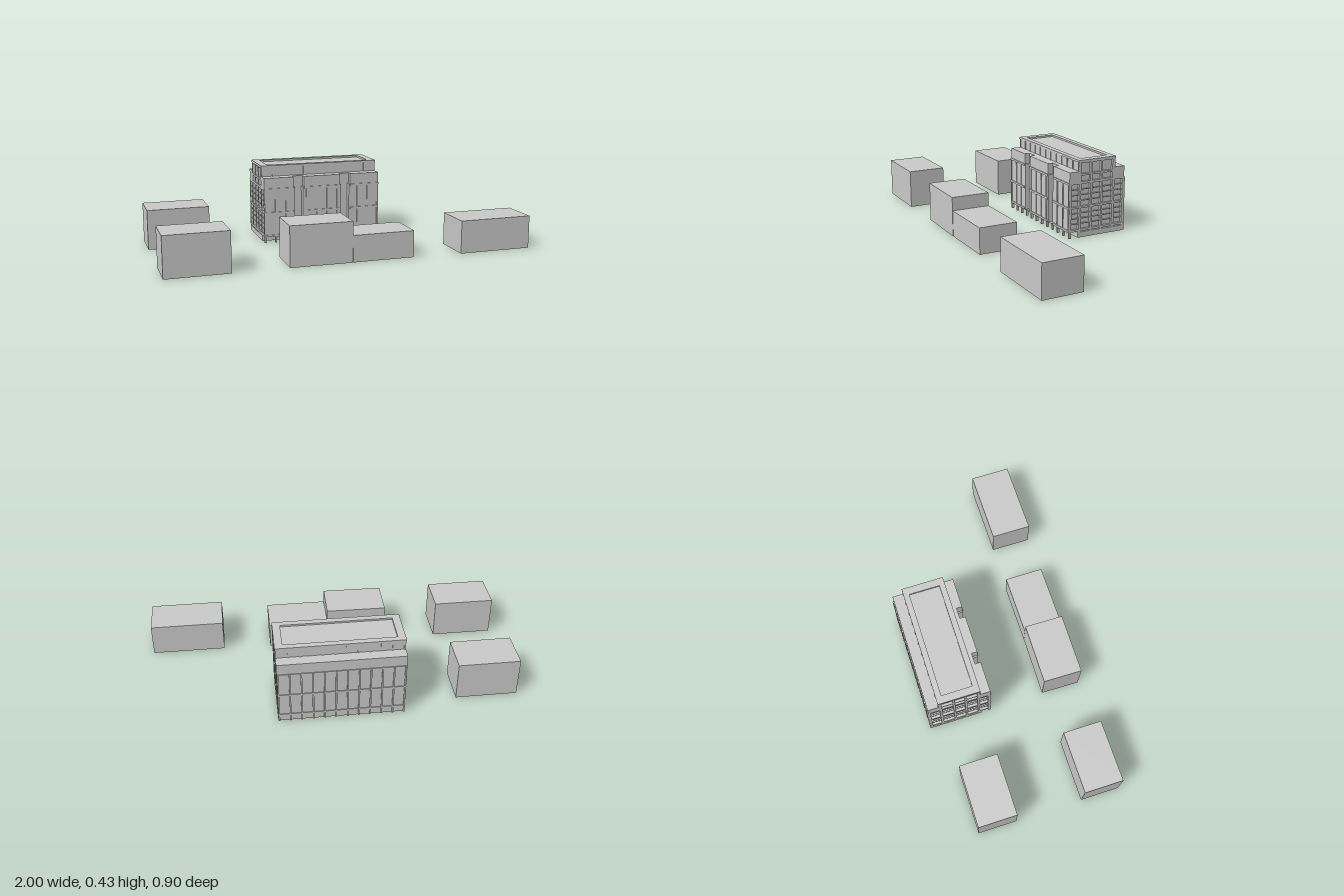
import * as THREE from 'three';

const mat = new THREE.MeshStandardMaterial({ color: 0xcccccc, flatShading: true });

export function createModel() {
  const root = new THREE.Group();

  const group = (name, parent = root) => {
    const g = new THREE.Group();
    g.name = name;
    parent.add(g);
    return g;
  };
  const add = (parent, name, geo) => {
    const m = new THREE.Mesh(geo, mat);
    m.name = name;
    parent.add(m);
    return m;
  };
  // box given by its limits
  const box = (parent, name, x0, x1, y0, y1, z0, z1) => {
    const m = add(parent, name, new THREE.BoxGeometry(x1 - x0, y1 - y0, z1 - z0));
    m.position.set((x0 + x1) / 2, (y0 + y1) / 2, (z0 + z1) / 2);
    return m;
  };
  const poly = pts => new THREE.Shape(pts.map(p => new THREE.Vector2(...p)));
  const rect = (a0, a1, b0, b1) => [[a0, b0], [a1, b0], [a1, b1], [a0, b1]];
  // plan outline in (x, z) raised from y0 to y1
  const raise = (shape, y0, y1) =>
    new THREE.ExtrudeGeometry(shape, { depth: y1 - y0, bevelEnabled: false })
      .rotateX(Math.PI / 2).translate(0, y1, 0);

  // plain neighbouring blocks
  const blocks = group('neighbourBlocks');
  box(blocks, 'backLeftBlock', -1, -0.66, 0, 0.22, -0.37, -0.155);
  box(blocks, 'frontLeftBlock', -1, -0.66, 0, 0.22, 0.22, 0.435);
  box(blocks, 'middleTallBlock', -0.358, -0.02, 0, 0.22, 0.218, 0.434).rotation.y = -0.015;
  box(blocks, 'middleLowBlock', -0.02, 0.32, 0, 0.145, 0.22, 0.435);
  box(blocks, 'frontRightBlock', 0.59, 1, 0, 0.18, 0.228, 0.45);

  const building = group('mainBuilding');
  const X0 = -0.36, X1 = 0.32, ZF = -0.097, ZB = -0.445, T = 0.014;
  const xa = X0 + T, xb = X1 - T;
  const slots = [-0.158, 0.117];

  // main body with two vertical slots in its front, wider at the top
  const plan = half => {
    const pts = [[xa, ZB], [xb, ZB], [xb, ZF]];
    [...slots].reverse().forEach(c =>
      pts.push([c + half, ZF], [c + half, ZF - 0.032], [c - half, ZF - 0.032], [c - half, ZF]));
    pts.push([xa, ZF]);
    return poly(pts);
  };
  box(building, 'groundFloor', xa, xb, 0, 0.035, ZB, -0.15);
  add(building, 'mainBody', raise(plan(0.023), 0.035, 0.31));
  add(building, 'mainBodyTop', raise(plan(0.031), 0.31, 0.37));
  box(building, 'upperStorey', xa, xb, 0.37, 0.422, -0.383, -0.157);

  // roof rim around a sunken deck
  const rim = poly(rect(X0 - 0.002, X1 + 0.002, -0.387, -0.153));
  rim.holes.push(poly(rect(X0 + 0.04, X1 - 0.04, -0.355, -0.185)));
  add(building, 'roofRim', raise(rim, 0.42, 0.432));

  // end walls: a frame of recessed panels
  const columns = [[-0.157, -0.11], [-0.228, -0.17], [-0.295, -0.24], [-0.368, -0.306], [-0.434, -0.382]];
  const rows = [[0.047, 0.165], [0.175, 0.3], [0.313, 0.346], [0.356, 0.415]];
  const wall = poly([
    [ZB, 0], [-0.15, 0], [-0.15, 0.035], [ZF, 0.035], [ZF, 0.37], [-0.157, 0.37],
    [-0.157, 0.425], [-0.383, 0.425], [-0.383, 0.37], [ZB, 0.37],
  ]);
  const panels = [];
  columns.forEach(([a, b], c) => {
    rows.forEach(([p, q], r) => {
      if (r < 2 || (c > 0 && c < 4)) panels.push([a, b, p, q]);
    });
    if (c > 0) panels.push([a, b, 0.03, 0.035]);
  });
  panels.forEach(p => wall.holes.push(poly(rect(...p))));
  const wallGeo = new THREE.ExtrudeGeometry(wall, { depth: T, bevelEnabled: false }).rotateY(-Math.PI / 2);
  for (const [name, outer, dir] of [['leftEnd', X1, 1], ['rightEnd', X0, -1]]) {
    const end = group(name, building);
    add(end, 'panelFrame', wallGeo).position.x = dir > 0 ? X1 : X0 + T;
    // thin floor edges inside the tall panels
    const inner = outer - dir * T, lip = outer - dir * 0.006;
    for (const [a, b, p, q] of panels) {
      if (q - p < 0.1) continue;
      for (let i = 1; i < 4; i++) {
        const y = p + (q - p) * i / 4;
        box(end, 'floorEdge', Math.min(inner, lip), Math.max(inner, lip), y - 0.002, y + 0.002, a, b);
      }
    }
  }

  // horizontal bands on front and back, broken at the slots
  const bands = group('bands', building);
  const spans = [[X0, slots[0] - 0.031], [slots[0] + 0.031, slots[1] - 0.031], [slots[1] + 0.031, X1]];
  for (const y of [0.035, 0.165, 0.3]) {
    spans.forEach(([a, b]) => box(bands, 'frontBand', a, b, y, y + 0.011, ZF, ZF + 0.005));
    box(bands, 'backBand', X0, X1, y, y + 0.009, ZB - 0.004, ZB);
  }

  // vertical fins, and columns beneath the front overhang
  const fins = group('fins', building);
  const bays = 11, w = 0.004;
  for (let i = 0; i <= bays; i++) {
    const x = X0 + 0.006 + (X1 - X0 - 0.012) * i / bays;
    box(fins, 'frontColumn', x - 0.005, x + 0.005, 0, 0.036, -0.11, ZF);
    box(fins, 'backFin', x - w, x + w, 0, 0.305, ZB - 0.007, ZB);
    if (slots.every(s => Math.abs(x - s) > 0.033))
      box(fins, 'frontFin', x - w, x + w, 0.035, 0.305, ZF, ZF + 0.004);
    box(fins, 'upperFrontFin', x - w, x + w, 0.37, 0.42, -0.157, -0.153);
    box(fins, 'upperBackFin', x - w, x + w, 0.37, 0.42, -0.387, -0.383);
  }

  return root;
}
